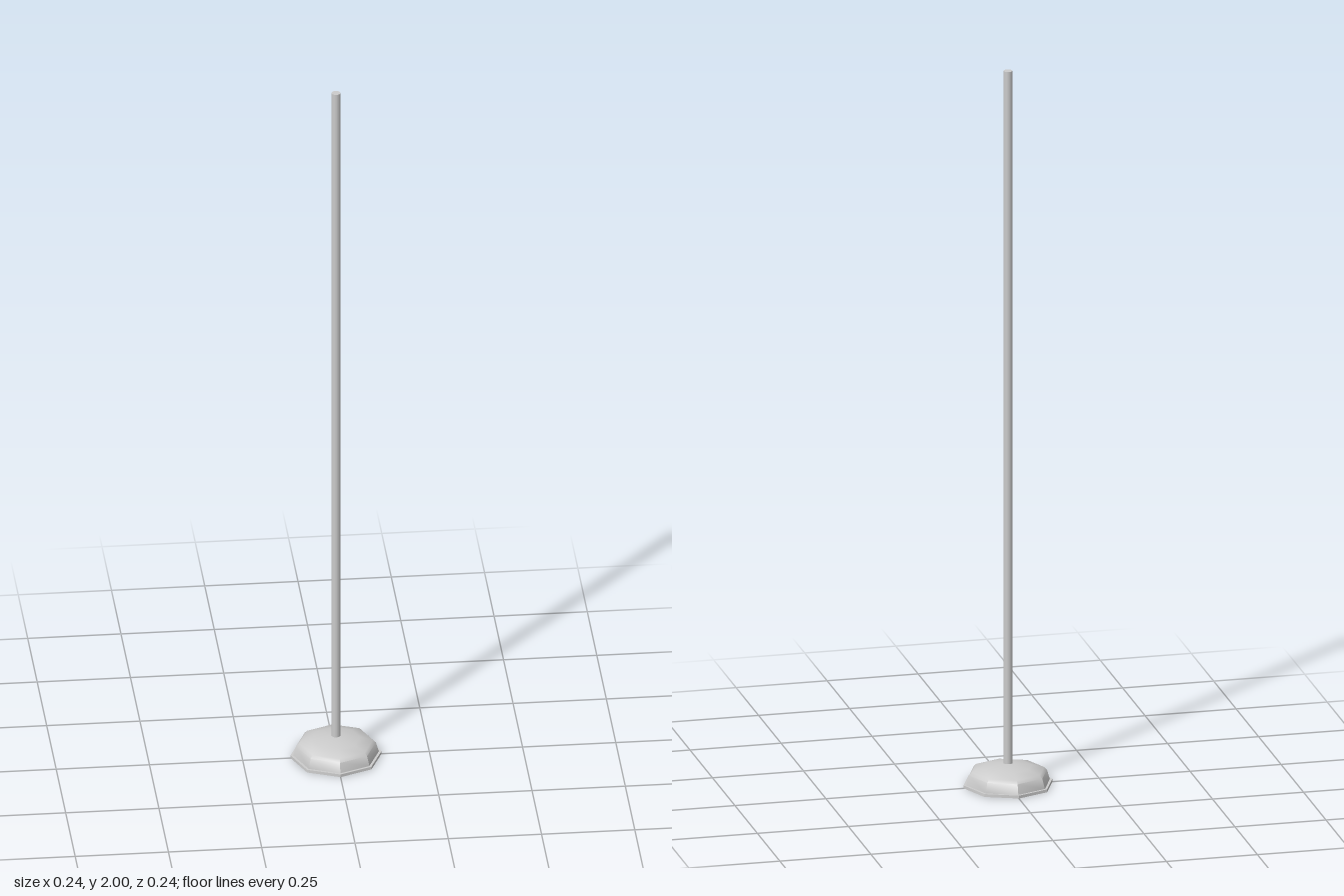
import * as THREE from 'three';
import { toCreasedNormals } from 'three/addons/utils/BufferGeometryUtils.js';

export function createModel() {
  const group = new THREE.Group();
  const material = new THREE.MeshStandardMaterial({ color: 0xcccccc });

  const addPart = (name, geometry) => {
    const mesh = new THREE.Mesh(geometry, material);
    mesh.name = name;
    group.add(mesh);
    return mesh;
  };

  // Eight-sided weighted base: flat underside, thin lip, steep wall, shallow dome
  const profile = [
    [0, 0], [0.122, 0], [0.122, 0.008], [0.115, 0.008],
    [0.107, 0.035], [0.099, 0.043], [0.065, 0.053], [0, 0.064],
  ].map(([r, y]) => new THREE.Vector2(r, y));
  addPart('base', toCreasedNormals(new THREE.LatheGeometry(profile, 8), 0.72));

  // Slim upright pole, standing in the base
  const pole = addPart('pole', new THREE.CylinderGeometry(0.012, 0.012, 1.95, 12));
  pole.position.y = 1.025;

  return group;
}
